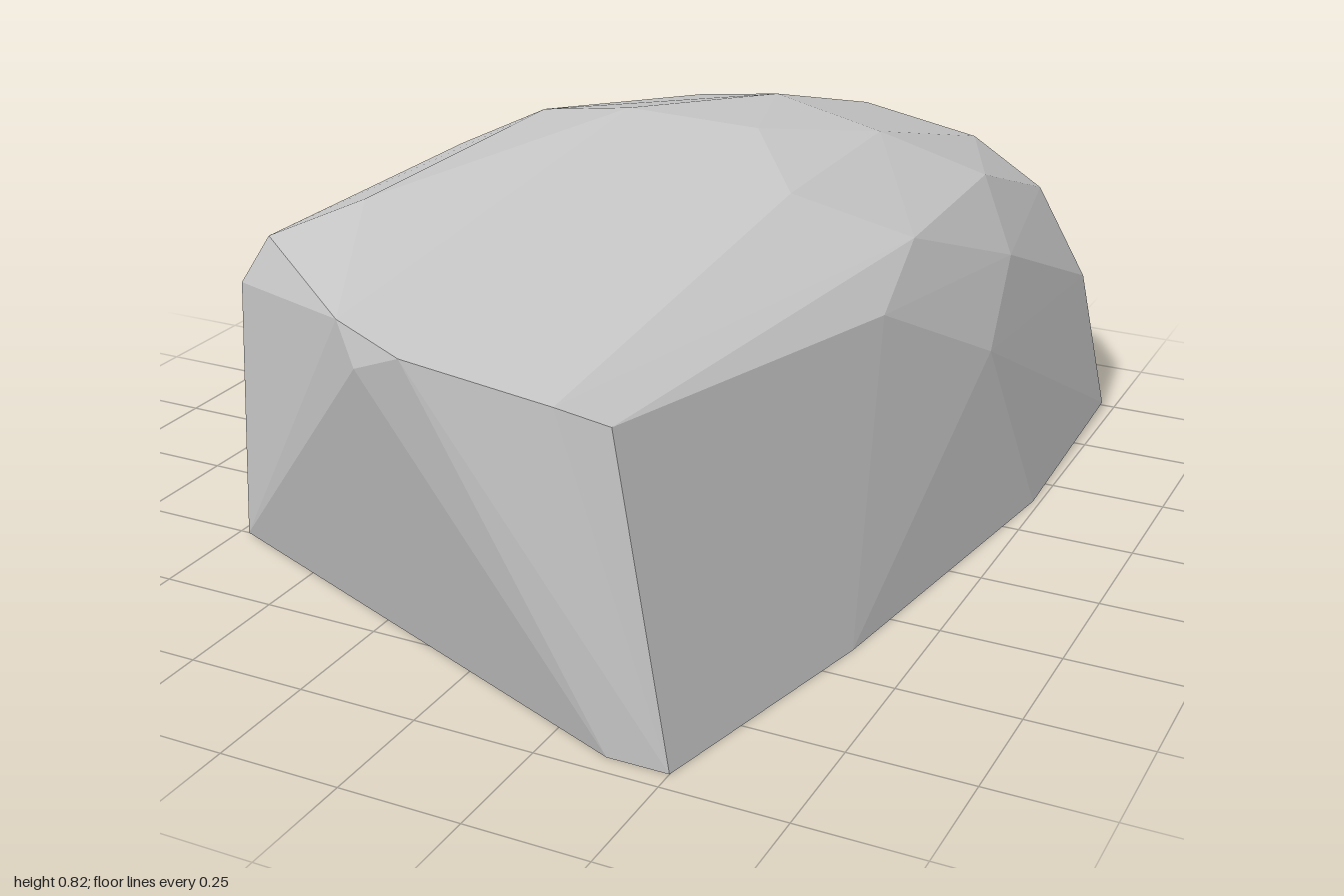
import * as THREE from 'three';
import { ConvexGeometry } from 'three/addons/geometries/ConvexGeometry.js';

// Footprint corners on the ground
const base = [
  [-0.73, 0, 0.5], [0.375, 0, 0.955], [0.5, 0, 0.955], [0.625, 0, 0.4],
  [0.735, 0, -0.4], [0.725, 0.015, -0.98], [-0.735, 0, -0.94],
];

// Flat back face, from its right side over the top
const back = [
  [0.65, 0.325, -1], [0.53, 0.53, -1], [0.36, 0.635, -1], [0.08, 0.685, -1],
  [-0.37, 0.65, -1], [-0.635, 0.535, -1], [-0.735, 0.375, -1], [-0.74, 0.07, -1],
];

// Upper rim of the front and the cut corner
const frontRim = [
  [0.375, 0.63, 0.925], [0.29, 0.67, 0.975], [0, 0.715, 1], [-0.12, 0.66, 0.96],
  [-0.18, 0.73, 0.92], [-0.66, 0.672, 0.455], [-0.725, 0.565, 0.47],
];

// Faceted crown and shoulders
const crown = [
  [-0.62, 0.688, -0.25], [-0.47, 0.757, -0.37], [-0.47, 0.757, 0.38],
  [-0.19, 0.825, -0.25], [0.12, 0.818, -0.25], [0, 0.787, -0.63],
  [0.305, 0.77, 0], [0.305, 0.77, -0.5], [0.53, 0.672, -0.12],
  [0.51, 0.662, -0.63], [0.56, 0.59, 0.12], [0.62, 0.53, -0.5], [0.665, 0.4, -0.25],
];

export function createModel() {
  const model = new THREE.Group();
  model.name = 'boulder';

  const stone = new THREE.MeshStandardMaterial({ color: 0xc8c8c8 });
  stone.name = 'light grey stone';

  // The stone is the flat-faced hull around its corners
  const corners = [...base, ...back, ...frontRim, ...crown].map((p) => new THREE.Vector3(...p));
  const rock = new THREE.Mesh(new ConvexGeometry(corners), stone);
  rock.name = 'rock';
  model.add(rock);

  return model;
}
